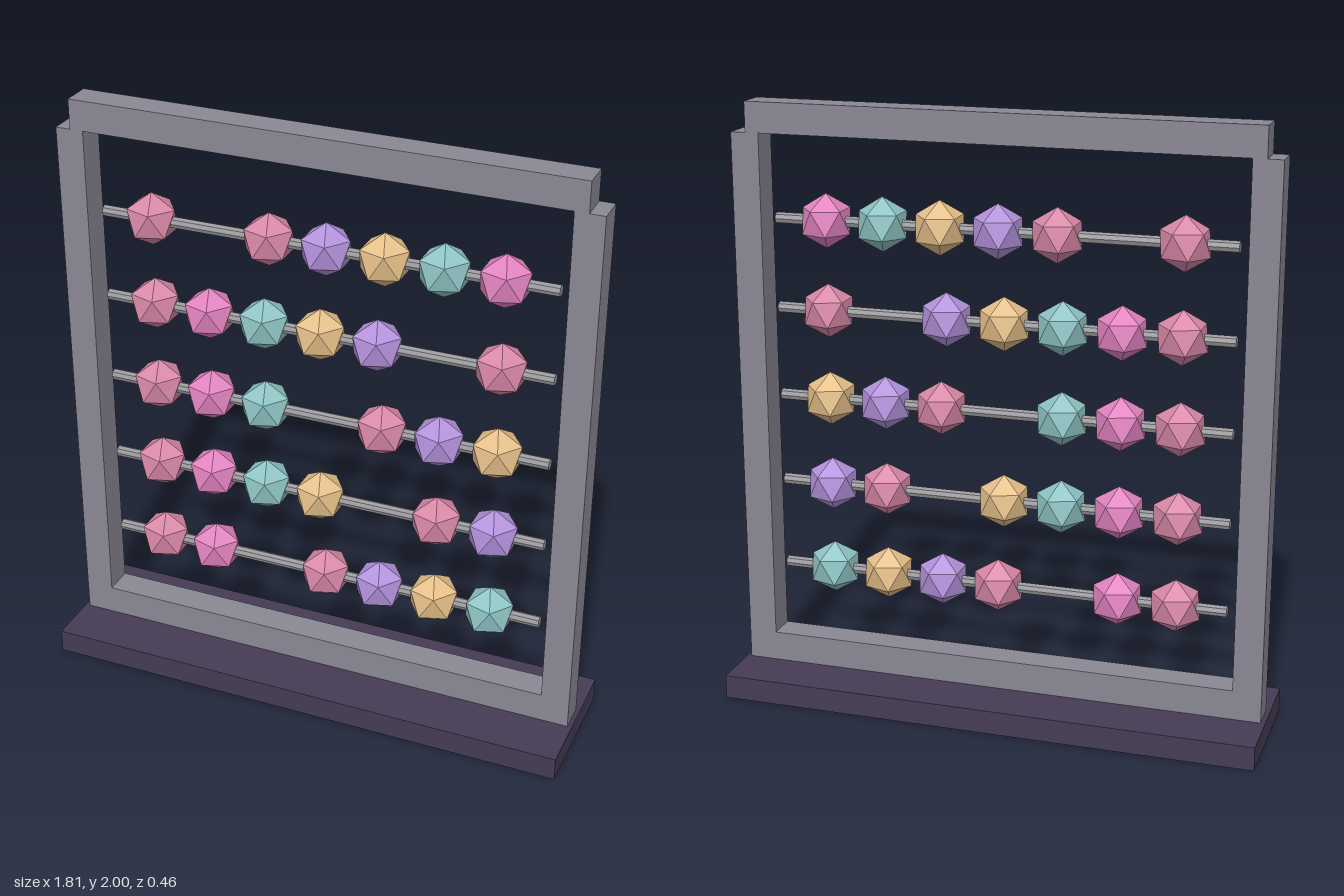
import * as THREE from 'three';

const paint = (color, flatShading = true) => new THREE.MeshStandardMaterial({ color, flatShading });

export function createModel() {
  const model = new THREE.Group();
  const frameMat = paint(0x8a8894);
  const baseMat = paint(0x453c55);
  const rodMat = paint(0x9a9a9e);

  const add = (name, geometry, material, x, y, z = 0, parent = model) => {
    const mesh = new THREE.Mesh(geometry, material);
    mesh.name = name;
    mesh.position.set(x, y, z);
    parent.add(mesh);
    return mesh;
  };

  // Base and frame
  add('base', new THREE.BoxGeometry(1.81, 0.08, 0.46), baseMat, 0, 0.04);
  for (const [name, side] of [['leftPost', 1], ['rightPost', -1]]) {
    add(name, new THREE.BoxGeometry(0.095, 1.82, 0.1), frameMat, side * 0.8425, 0.99);
  }
  add('bottomRail', new THREE.BoxGeometry(1.59, 0.1, 0.1), frameMat, 0, 0.13);
  add('topRail', new THREE.BoxGeometry(1.68, 0.1, 0.1), frameMat, 0, 1.95);

  // Rods, each with six beads: some pushed to the right side, the rest to the left
  const rodGeo = new THREE.CylinderGeometry(0.019, 0.019, 1.52, 8).rotateZ(Math.PI / 2);
  // Faceted bead turned so that one corner points straight up
  const beadGeo = new THREE.IcosahedronGeometry(0.09, 0)
    .rotateZ(-Math.atan(2 / (1 + Math.sqrt(5))));
  const rose = paint(0xd988a8), pink = paint(0xe283c0), teal = paint(0x8fc4c4);
  const tan = paint(0xe6c08a), purple = paint(0xb392dc);
  const order = [rose, pink, teal, tan, purple, rose];
  const pushed = [2, 4, 3, 5, 1];

  pushed.forEach((count, row) => {
    const group = new THREE.Group();
    group.name = 'beadRow';
    group.position.y = 0.43 + row * 0.2975;
    model.add(group);
    add('rod', rodGeo, rodMat, 0, 0, 0, group);
    order.forEach((material, i) => {
      const x = i < count ? -0.59 + i * 0.193 : 0.588 - (i - count) * 0.193;
      add('bead', beadGeo, material, x, 0, 0, group);
    });
  });

  return model;
}
